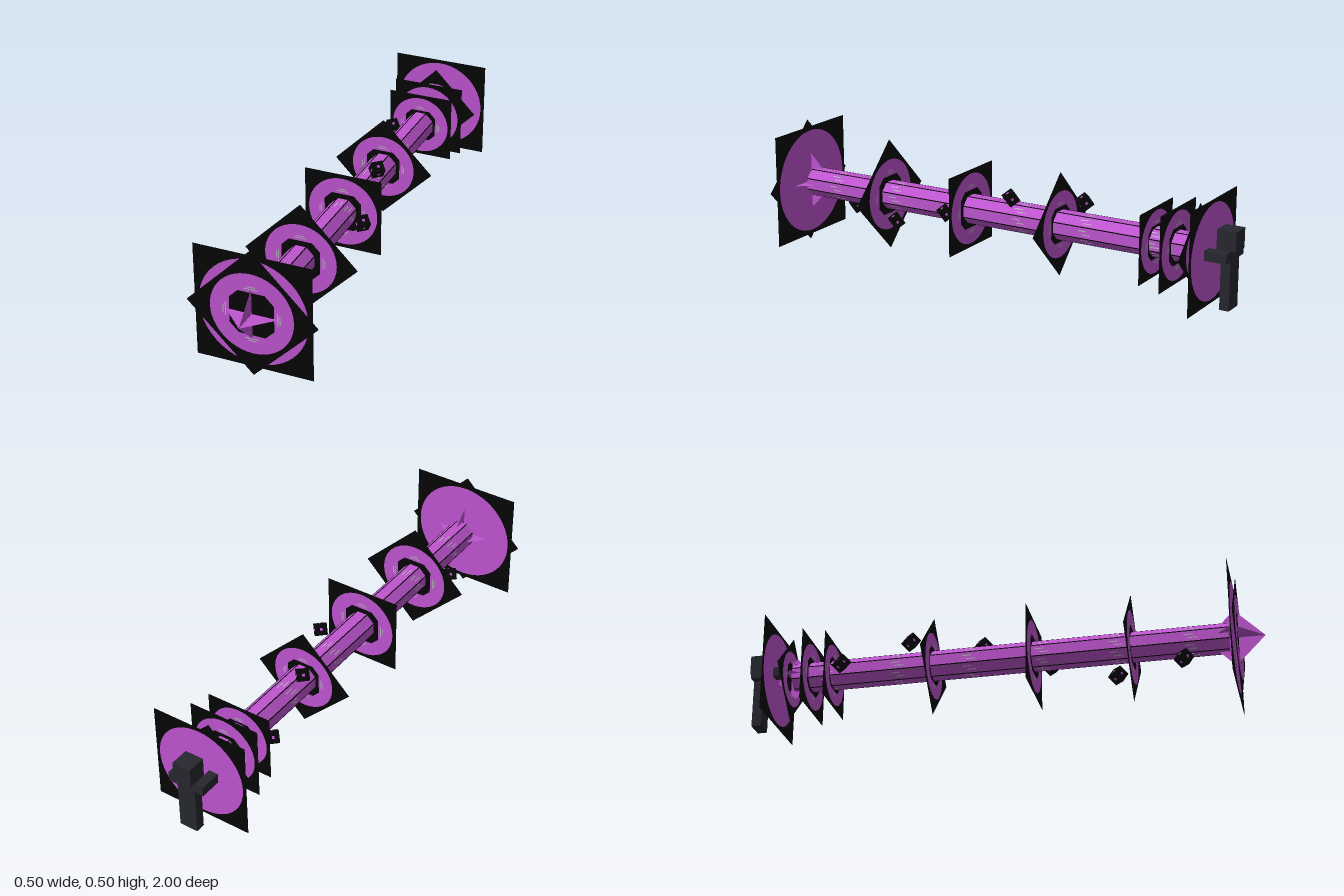
import * as THREE from 'three';

const mat = (name, color, side = THREE.FrontSide) => {
  const m = new THREE.MeshStandardMaterial({ color, side });
  m.name = name;
  return m;
};

export function createModel() {
  const purple = mat('purple', 0xbf55d1, THREE.DoubleSide);
  const black = mat('black', 0x060606, THREE.DoubleSide);
  const charcoal = mat('charcoal', 0x27272f);
  const grey = mat('pale grey', 0xb5aebb);
  const model = new THREE.Group();
  model.name = 'beamWithRings';
  const CY = 0.25; // height of the beam axis

  const add = (parent, name, geo, material, x = 0, y = 0, z = 0) => {
    const m = new THREE.Mesh(geo, material);
    m.name = name;
    m.position.set(x, y, z);
    parent.add(m);
    return m;
  };

  // Octagonal beam
  const apothem = 0.053, zFront = 0.866, zBack = -0.823, length = zFront - zBack;
  const beamR = apothem / Math.cos(Math.PI / 8);
  const beamGeo = new THREE.CylinderGeometry(beamR, beamR, length, 8).toNonIndexed();
  beamGeo.rotateY(Math.PI / 8).rotateX(Math.PI / 2);
  beamGeo.computeVertexNormals();
  const beamZ = (zFront + zBack) / 2;
  add(model, 'beam', beamGeo, purple, 0, CY, beamZ);

  // Thin dark seams on the corners and pale flecks on every facet
  const segments = 6;
  for (let i = 0; i < 8; i++) {
    const a = (i + 0.5) * Math.PI / 4;
    const seam = add(model, 'beamSeam', new THREE.BoxGeometry(0.001, 0.004, length), black,
      Math.cos(a) * beamR, CY + Math.sin(a) * beamR, beamZ);
    seam.rotation.z = a;
    const b = i * Math.PI / 4;
    for (let j = 0; j < segments; j++) {
      const z = zFront - (j + 0.5) * length / segments;
      for (const s of [1, -1]) {
        const fleck = add(model, 'beamFleck', new THREE.BoxGeometry(0.001, 0.004, 0.035), grey,
          Math.cos(b) * apothem - Math.sin(b) * s * 0.007,
          CY + Math.sin(b) * apothem + Math.cos(b) * s * 0.007, z + s * 0.008);
        fleck.rotation.z = b;
      }
    }
  }

  // Crossed diamond blades at both ends of the beam
  const diamond = (name, d, z) => {
    const g = new THREE.Group();
    g.name = name;
    g.position.set(0, CY, z);
    for (const upright of [true, false]) {
      const geo = new THREE.CircleGeometry(d, 4);
      if (upright) geo.rotateY(Math.PI / 2);
      else geo.rotateX(-Math.PI / 2);
      add(g, 'diamondBlade', geo, purple);
    }
    model.add(g);
  };
  diamond('frontDiamond', 0.113, 0.885);
  diamond('backDiamond', 0.085, -0.82);

  // Purple disc, or ring around an eight-sided dark centre
  const ringShape = (outer, inner) => {
    const s = new THREE.Shape();
    s.absarc(0, 0, outer, 0, Math.PI * 2);
    if (inner) {
      const c = inner * 0.6;
      s.holes.push(new THREE.Path([[inner, c], [c, inner], [-c, inner], [-inner, c],
        [-inner, -c], [-c, -inner], [c, -inner], [inner, -c]].map(p => new THREE.Vector2(...p))));
    }
    return new THREE.ShapeGeometry(s, 24);
  };

  // Square plates: half side, z, turned by 45 degrees, has a dark centre
  const plates = [
    [0.224, 0.886, false, false],
    [0.177, 0.898, true, true],
    [0.157, 0.5, true, true],
    [0.155, 0.123, false, true],
    [0.143, -0.27, true, true],
    [0.133, -0.668, false, true],
    [0.145, -0.755, false, true],
    [0.122, -0.84, true, true],
    [0.195, -0.893, false, false],
  ];
  for (const [half, z, turned, open] of plates) {
    const g = new THREE.Group();
    g.name = 'ringPlate';
    g.position.set(0, CY, z);
    add(g, 'plate', new THREE.PlaneGeometry(half * 2, half * 2), black).rotation.z = turned ? Math.PI / 4 : 0;
    for (const s of [1, -1]) {
      const face = new THREE.Group();
      face.name = 'plateFace';
      if (s < 0) face.rotation.y = Math.PI;
      add(face, 'plateRing', ringShape(half * (open ? 0.9 : 0.93), open ? half * 0.48 : 0), purple, 0, 0, 0.002);
      // Pale dashes around the dark centre
      for (let i = 0; open && i < 4; i++) {
        const a = i * Math.PI / 2;
        for (const [r, len] of [[0.56, 0.3], [0.61, 0.18]]) {
          const dash = add(face, 'ringDash', new THREE.PlaneGeometry(half * 0.025, half * len), grey,
            Math.cos(a) * half * r, Math.sin(a) * half * r, 0.003);
          dash.rotation.z = a;
        }
      }
      g.add(face);
    }
    model.add(g);
  }

  // Small cubes spiralling around the beam
  const size = 0.045;
  for (let i = 0; i < 6; i++) {
    const a = (240 + 60 * i) * Math.PI / 180;
    const cube = add(model, 'floatingCube', new THREE.BoxGeometry(size, size, size), black,
      Math.cos(a) * 0.1, CY + Math.sin(a) * 0.1, 0.697 - 0.261 * i);
    cube.rotation.set(0.6, Math.PI / 4, 0, 'YXZ');
    for (const axis of [0, 1, 2]) {
      const dims = [0.01, 0.01, 0.01];
      dims[axis] = size + 0.002;
      add(cube, 'cubeInlay', new THREE.BoxGeometry(...dims), purple);
    }
  }

  // Blocky figure at the back, arms held out toward the beam
  const u = 0.0093;
  const figure = new THREE.Group();
  figure.name = 'figure';
  figure.position.set(0, 0.05, -0.962);
  const block = (name, w, h, d, x, y, z) =>
    add(figure, name, new THREE.BoxGeometry(w * u, h * u, d * u), charcoal, x * u, y * u, z * u);
  block('head', 8, 8, 8, 0, 28, 0);
  block('torso', 8, 12, 4, 0, 18, 0);
  for (const s of [1, -1]) {
    block('leg', 4, 12, 4, s * 2, 6, 0);
    block('arm', 4, 4, 12, s * 6, 22, 4);
  }
  model.add(figure);

  return model;
}
